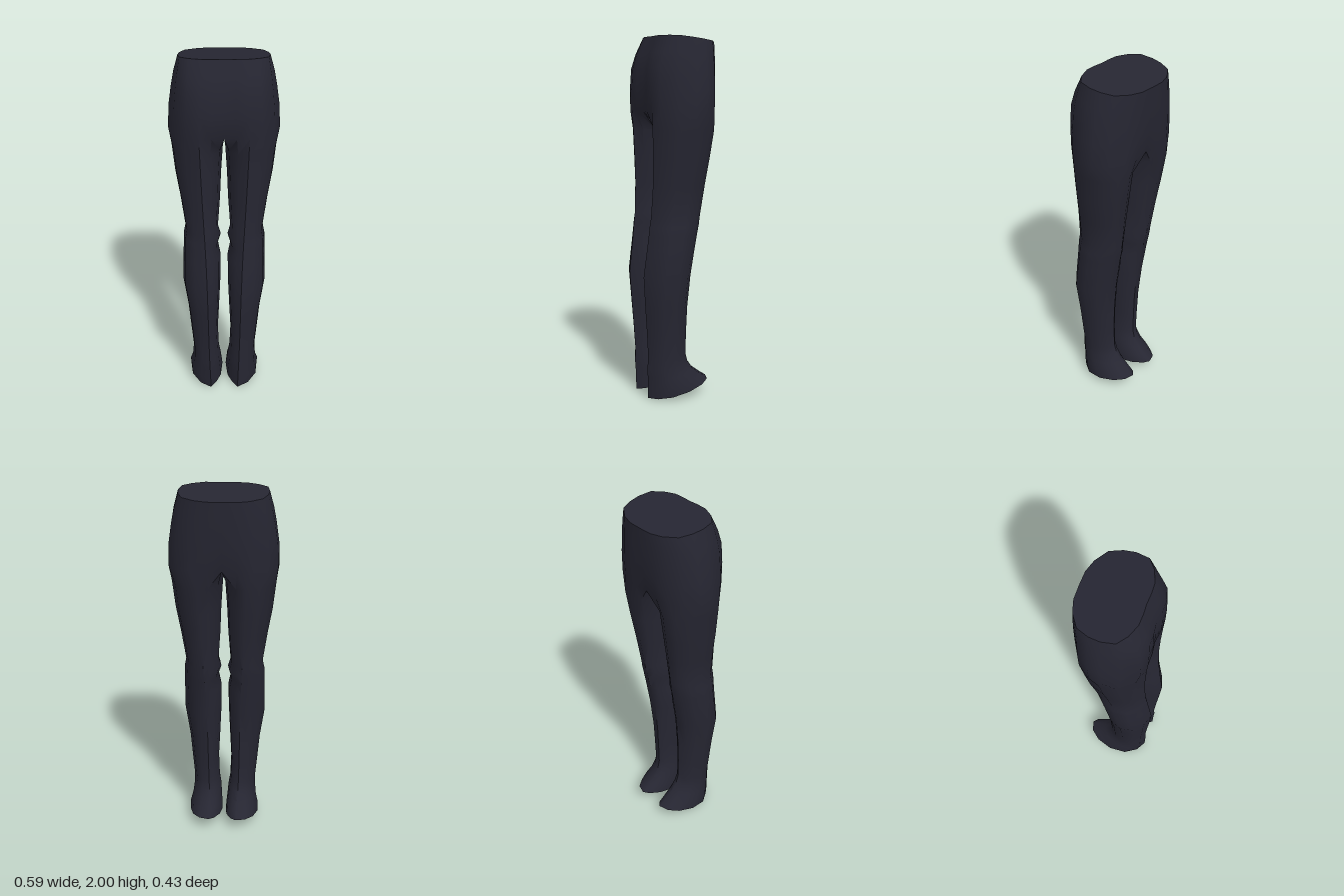
import * as THREE from 'three';
import { toCreasedNormals } from 'three/addons/utils/BufferGeometryUtils.js';

// Half outlines [x, z], running from the front centre round the side to the back centre
const WAIST = [[0, .114], [.05, .117], [.11, .115], [.175, .09], [.225, .05], [.237, -.02],
  [.23, -.08], [.205, -.145], [.14, -.19], [.075, -.21], [0, -.212]];
const HIP = [[0, .17], [.065, .178], [.13, .178], [.195, .16], [.262, .085], [.295, 0],
  [.29, -.07], [.24, -.14], [.165, -.18], [.08, -.187], [0, -.18]];

// Pelvis rows: y, slant of the waistline, blend from waist to hip in x, front z and back z
const PELVIS = [
  [2, 1, 0, 0, 0], [1.91, .6, .4, .6, .1], [1.83, .3, .65, .95, .2],
  [1.72, .1, .92, 1.03, .45], [1.6, 0, 1, 1, 1],
];

// Leg rows: front y, back y, inner x, outer x, seam x, front z, back z
const LEG = [
  [1.5, 1.5, .006, .281, .127, .173, -.18],
  [1.35, 1.35, .016, .265, .122, .168, -.158],
  [1.2, 1.2, .022, .24, .116, .167, -.135],
  [1.03, 1.03, .034, .216, .108, .175, -.113],
  [.98, .98, .019, .226, .105, .182, -.105],
  [.93, .93, .034, .227, .103, .187, -.095],
  [.86, .86, .02, .229, .1, .195, -.082],
  [.7, .7, .022, .232, .095, .215, -.055],
  [.52, .52, .03, .206, .092, .204, -.041],
  [.38, .38, .037, .194, .09, .194, -.037],
  [.24, .25, .032, .182, .087, .186, -.036],
  [.17, .2, .022, .184, .085, .19, -.05],
  [.12, .15, .018, .19, .083, .187, -.085],
  [.06, .115, .013, .203, .081, .186, -.13],
  [0, .08, .01, .203, .08, .185, -.18],
];

// Leg section: sideways share (outer positive, inner negative) and front-to-back share
const SECTION = [[0, 1], [.5, .91], [.9, .72], [1, .45], [.8, .2], [.45, .05],
  [0, 0], [-.45, .07], [-.85, .25], [-1, .5], [-.85, .75], [-.45, .9]];

const mix = THREE.MathUtils.lerp;

function pelvisRow([y, slant, bx, bf, bb]) {
  return WAIST.map(([x, z], i) => {
    const drop = slant * .035 * (.117 - z) / .33;
    return [mix(x, HIP[i][0], bx), y - drop, mix(z, HIP[i][1], i < 5 ? bf : bb)];
  });
}

function legRow([yf, yb, xi, xo, xs, zf, zb]) {
  return SECTION.map(([u, v]) =>
    [u > 0 ? mix(xs, xo, u) : mix(xs, xi, -u), mix(yb, yf, v), mix(zb, zf, v)]);
}

// Joins neighbouring rows with triangles
function loft(rows, closed, out) {
  for (let r = 0; r < rows.length - 1; r++) {
    const n = rows[r].length;
    for (let j = 0; j < (closed ? n : n - 1); j++) {
      const k = (j + 1) % n;
      const a = rows[r][j], b = rows[r][k], c = rows[r + 1][j], d = rows[r + 1][k];
      out.push([a, c, b], [b, c, d]);
    }
  }
}

// Adds the mirrored half and makes a geometry
function mirrored(tris) {
  const flip = ([x, y, z]) => [-x, y, z];
  const all = [...tris, ...tris.map(([a, b, c]) => [flip(a), flip(c), flip(b)])];
  const geo = new THREE.BufferGeometry();
  geo.setAttribute('position', new THREE.Float32BufferAttribute(all.flat(2), 3));
  return toCreasedNormals(geo, .75);
}

export function createModel() {
  const group = new THREE.Group();
  const cloth = new THREE.MeshStandardMaterial({ color: 0x262632 });
  cloth.name = 'darkCloth';
  const add = (name, tris) => {
    const mesh = new THREE.Mesh(mirrored(tris), cloth);
    mesh.name = name;
    group.add(mesh);
  };

  // Pelvis and legs share the hip row, whose inner side is the crotch line
  const pelvis = PELVIS.map(pelvisRow);
  const hip = pelvis[pelvis.length - 1];
  const crotch = [0, 1.62, 0];
  const legs = [[...hip.slice(2), crotch, hip[0], hip[1]], ...LEG.map(legRow)];
  const shell = [];
  loft(pelvis, false, shell);
  loft(legs, true, shell);
  add('trousers', shell);

  // Flat top closing the waist
  const waist = pelvis[0];
  const top = [0, 1.982, -.05];
  add('waistTop', waist.slice(1).map((p, i) => [top, waist[i], p]));

  // Slanted soles closing the hems
  const hem = legs[legs.length - 1];
  const sole = [.1, .04, 0];
  add('hemSoles', hem.map((p, i) => [sole, hem[(i + 1) % hem.length], p]));

  return group;
}
